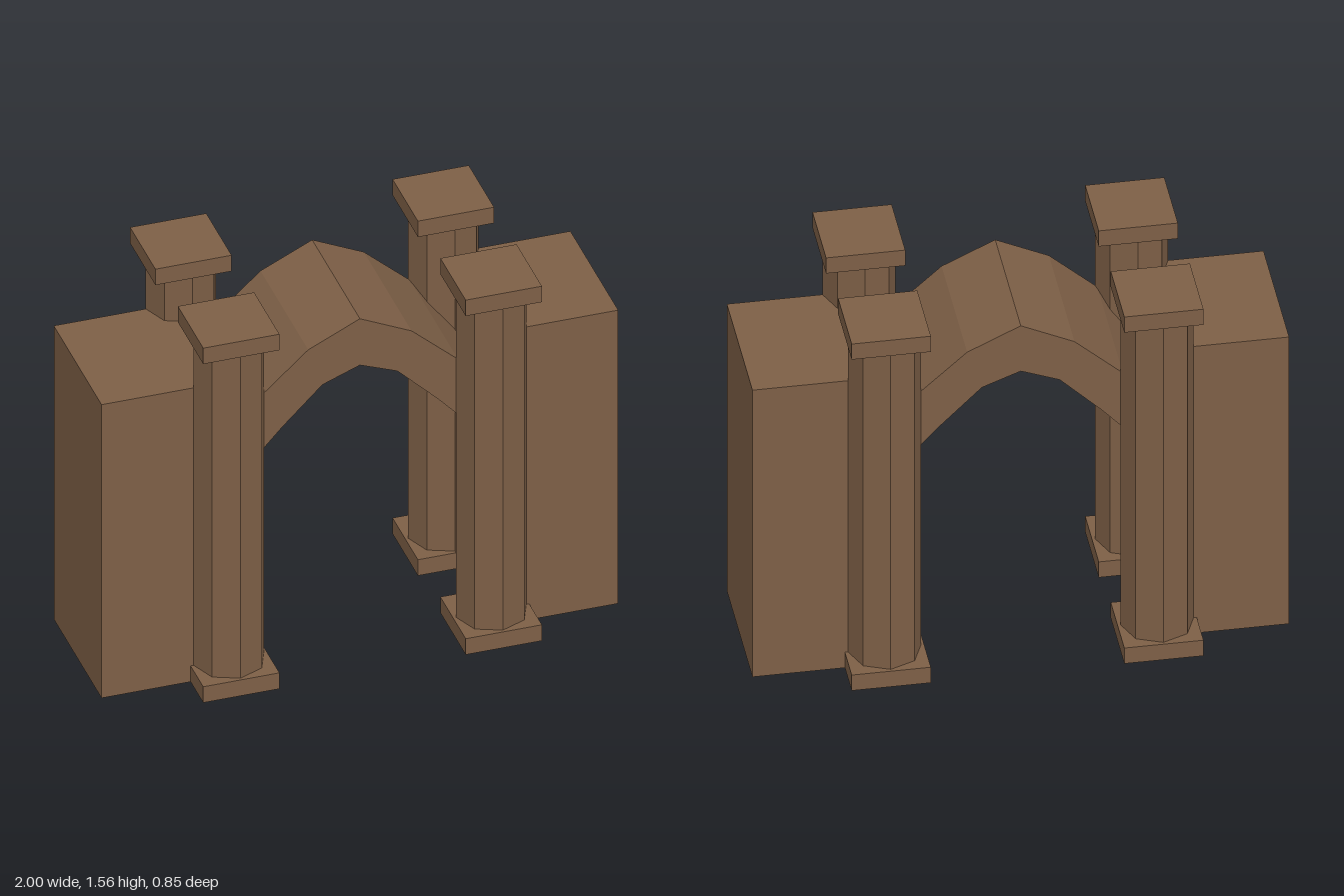
import * as THREE from 'three';

const DEPTH = 0.556;      // thickness of walls and arch
const PILLAR_X = 0.508;
const PILLAR_Z = 0.278;

// Box standing on y = 0 without its underside
function openBox(w, h, d) {
  const geo = new THREE.BoxGeometry(w, h, d);
  geo.setIndex(Array.from(geo.index.array).filter((_, i) => i < 18 || i >= 24));
  geo.clearGroups();
  return geo.translate(0, h / 2, 0);
}

export function createModel() {
  const stone = new THREE.MeshStandardMaterial({ color: 0x7d5f46, flatShading: true, side: THREE.DoubleSide });
  stone.name = 'brown stone';
  const model = new THREE.Group();
  model.name = 'archway';

  const add = (parent, name, geo, x, y, z) => {
    const mesh = new THREE.Mesh(geo, stone);
    mesh.name = name;
    mesh.position.set(x, y, z);
    parent.add(mesh);
  };

  // Side walls
  const wallGeo = openBox(1 - PILLAR_X, 1.29, DEPTH);
  for (const s of [-1, 1]) {
    add(model, s > 0 ? 'leftWall' : 'rightWall', wallGeo, s * (1 + PILLAR_X) / 2, 0, 0);
  }

  // Faceted arch between the walls, mirrored from half profiles
  const outer = [[0, 1.46], [0.2, 1.365], [0.38, 1.203], [PILLAR_X, 1.045]];
  const inner = [[0, 1.256], [0.145, 1.2], [0.3, 1.047], [PILLAR_X, 0.82]];
  const mirror = (half) => [...half.slice(1).reverse().map(([x, y]) => [-x, y]), ...half];
  const profile = [...mirror(outer), ...mirror(inner).reverse()];
  const archShape = new THREE.Shape(profile.map(([x, y]) => new THREE.Vector2(x, y)));
  const archGeo = new THREE.ExtrudeGeometry(archShape, { depth: DEPTH, bevelEnabled: false });
  add(model, 'arch', archGeo, 0, 0, -DEPTH / 2);

  // Octagonal pillars at the inner wall corners
  const baseGeo = openBox(0.295, 0.07, 0.295);
  const shaftGeo = new THREE.CylinderGeometry(0.136, 0.136, 1.42, 8);
  const capGeo = new THREE.BoxGeometry(0.295, 0.07, 0.295);
  for (const sx of [-1, 1]) {
    for (const sz of [-1, 1]) {
      const pillar = new THREE.Group();
      pillar.name = (sz > 0 ? 'front' : 'back') + (sx > 0 ? 'Left' : 'Right') + 'Pillar';
      pillar.position.set(sx * PILLAR_X, 0, sz * PILLAR_Z);
      add(pillar, 'pillarBase', baseGeo, 0, 0, 0);
      add(pillar, 'pillarShaft', shaftGeo, 0, 0.78, 0);
      add(pillar, 'pillarCap', capGeo, 0, 1.524, 0);
      model.add(pillar);
    }
  }
  return model;
}
